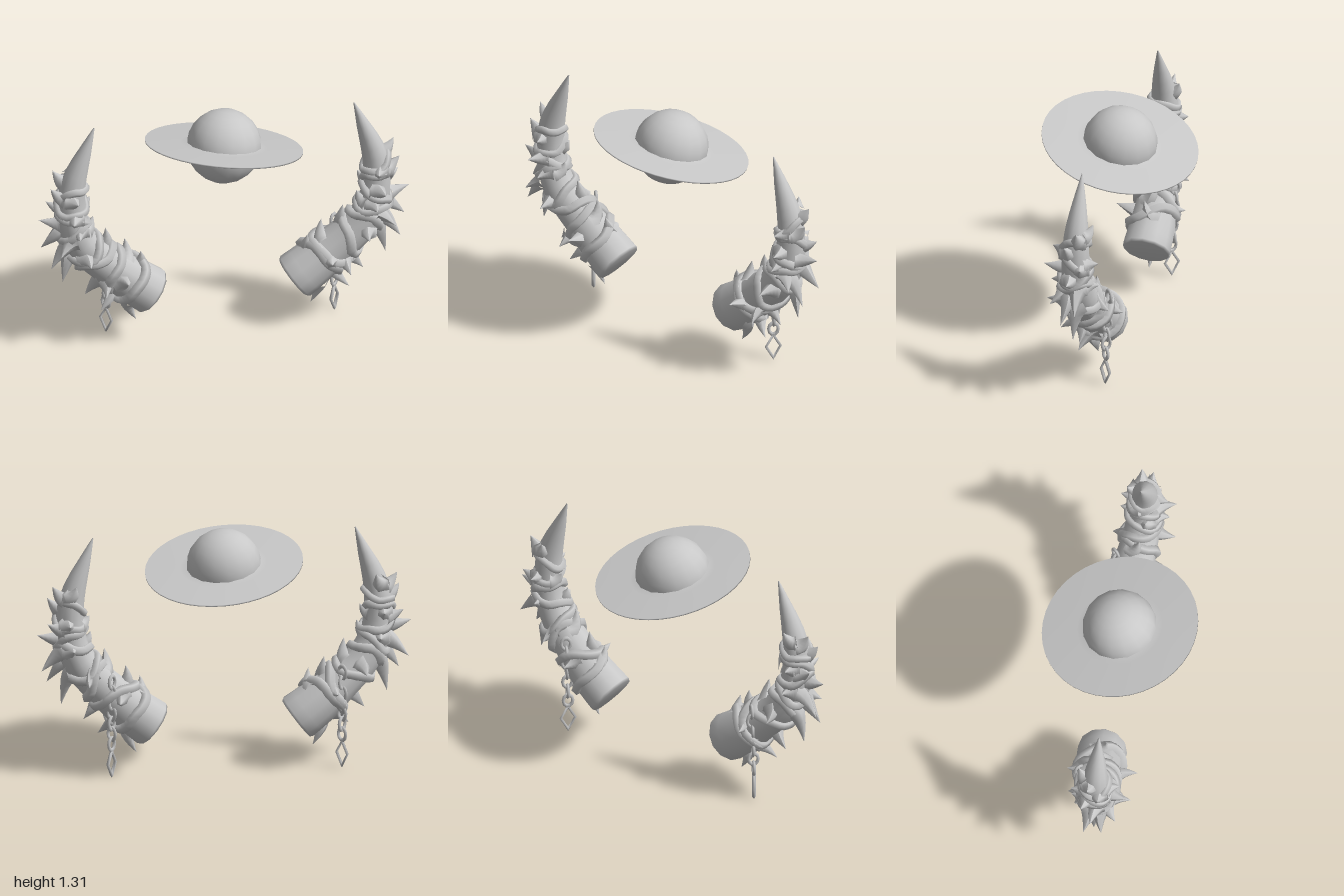
import * as THREE from 'three';

const grey = new THREE.MeshStandardMaterial({ color: 0xc8c8c8 });
grey.name = 'grey';
const V = (x, y, z) => new THREE.Vector3(x, y, z);
const Z = V(0, 0, 1);

// horn centre line with radius: x, y, z, r
const HORN = [
  [0.38, 0.262, -0.03, 0.132], [0.5, 0.352, -0.03, 0.124], [0.62, 0.455, -0.02, 0.107],
  [0.73, 0.56, -0.005, 0.097], [0.8, 0.68, 0, 0.086], [0.82, 0.8, 0, 0.077],
  [0.82, 0.92, 0, 0.072], [0.797, 1.03, 0, 0.061], [0.75, 1.16, 0, 0.036], [0.7, 1.3, 0, 0.003],
];
const LAST = HORN.length - 1;

// thorn tips x, y, z and the centre-line station each one grows from
const THORNS = [
  [0.45, 0.53, 0.0, 1.1], [0.53, 0.6, -0.03, 1.7], [0.64, 0.69, 0.0, 2.6], [0.71, 0.78, 0.02, 4.1],
  [0.72, 0.88, -0.02, 5.2], [0.92, 1.05, -0.03, 6.4], [0.94, 0.97, 0.03, 5.8], [0.95, 0.85, -0.06, 5.1],
  [1.0, 0.775, 0.0, 4.6], [0.98, 0.585, -0.04, 4.2], [0.94, 0.5, 0.05, 3.8], [0.87, 0.385, 0.0, 3.4],
  [0.75, 0.3, 0.0, 2.0], [0.67, 0.21, 0.03, 1.2], [0.47, 0.11, -0.02, 0.7],
  [0.75, 0.55, 0.18, 3.1], [0.84, 0.81, 0.17, 4.9], [0.55, 0.43, 0.185, 1.5], [0.8, 0.7, 0.14, 4.2],
  [0.81, 0.91, 0.13, 5.8], [0.84, 0.85, -0.13, 5.3], [0.58, 0.43, -0.19, 1.6], [0.82, 0.71, -0.13, 4.2],
  [0.74, 0.52, -0.16, 2.9], [0.8, 1.06, -0.09, 6.6], [0.66, 0.33, 0.13, 1.8], [0.9, 0.6, 0.12, 3.9],
];

function add(group, name, geometry) {
  const mesh = new THREE.Mesh(geometry, grey);
  mesh.name = name;
  group.add(mesh);
  return mesh;
}

// horn path for one side (+1 or -1): position, radius and cross axes by station
function hornPath(side) {
  const line = new THREE.CatmullRomCurve3(HORN.map(p => V(p[0] * side, p[1], p[2])), false, 'catmullrom');
  const width = new THREE.CatmullRomCurve3(HORN.map(p => V(p[3], 0, 0)), false, 'catmullrom');
  return k => {
    const t = THREE.MathUtils.clamp(k / LAST, 0, 1);
    const T = line.getTangent(t);
    const N = T.clone().cross(Z).normalize();
    return { P: line.getPoint(t), T, N, B: N.clone().cross(T).normalize(), r: width.getPoint(t).x };
  };
}
const around = (f, a, r) => f.P.clone().addScaledVector(f.N, Math.cos(a) * r).addScaledVector(f.B, Math.sin(a) * r);

// swept body with a slightly rounded, closed base
function hornBody(at) {
  const sides = 12, pos = [], idx = [];
  const rows = [[0, 0], [0, 0.92], [0.1, 1]];
  for (let k = 0.5; k <= LAST; k += 0.5) rows.push([k, 1]);
  rows.forEach(([k, s], i) => {
    const f = at(k);
    for (let j = 0; j < sides; j++) {
      pos.push(...around(f, j / sides * Math.PI * 2, f.r * s).toArray());
      if (i === rows.length - 1) continue;
      const a = i * sides + j, c = i * sides + (j + 1) % sides;
      idx.push(a, a + sides, c, c, a + sides, c + sides);
    }
  });
  const g = new THREE.BufferGeometry();
  g.setAttribute('position', new THREE.Float32BufferAttribute(pos, 3));
  g.setIndex(idx);
  g.computeVertexNormals();
  return g;
}

// curved thorn: a tube narrowed to a point at its tip
function thornGeometry(root, bend, tip) {
  const steps = 6, sides = 6, p = V(0, 0, 0);
  const curve = new THREE.QuadraticBezierCurve3(root, bend, tip);
  const g = new THREE.TubeGeometry(curve, steps, 0.055, sides);
  const pos = g.attributes.position;
  for (let i = 0; i < pos.count; i++) {
    const u = Math.floor(i / (sides + 1)) / steps;
    const centre = curve.getPointAt(u);
    p.fromBufferAttribute(pos, i).sub(centre).multiplyScalar(1 - u).add(centre);
    pos.setXYZ(i, p.x, p.y, p.z);
  }
  g.computeVertexNormals();
  return g;
}

function hornGroup(side) {
  const group = new THREE.Group();
  const at = hornPath(side);
  add(group, 'hornBody', hornBody(at));

  // slanted vines looped around the horn, half sunk into it
  [1.2, 1.75, 2.6, 3.3, 4.1, 4.7, 5.4, 6.1].forEach((k, i) => {
    const pts = [];
    for (let j = 0; j < 12; j++) {
      const a = j / 12 * Math.PI * 2;
      const f = at(k + 0.32 * Math.sin(side * a + i * 2.1) + 0.08 * Math.sin(3 * side * a + i));
      pts.push(around(f, a, f.r * 0.97));
    }
    add(group, 'vine', new THREE.TubeGeometry(new THREE.CatmullRomCurve3(pts, true), 28, 0.03 - i * 0.001, 5, true));
  });

  // thorns, each creeping a little around the horn before turning outward
  THORNS.forEach(([x, y, z, k], i) => {
    const tip = V(x * side, y, z), f = at(k);
    const out = tip.clone().sub(f.P);
    out.addScaledVector(f.T, -out.dot(f.T)).normalize();
    const swing = (i % 2 ? 0.5 : -0.5) * side;
    const root = f.P.clone().addScaledVector(out.clone().applyAxisAngle(f.T, swing), f.r * 0.7);
    const bend = f.P.clone().addScaledVector(out, f.r);
    add(group, 'thorn', thornGeometry(root, bend, tip));
  });

  // hanging chain behind the horn
  for (let i = 0; i < 7; i++) {
    const link = add(group, 'chainLink', new THREE.TorusGeometry(0.025, 0.009, 5, 10));
    link.scale.y = 1.35;
    link.position.set(0.615 * side, 0.535 - i * 0.058, -0.122 + i * 0.003);
    link.rotation.y = side * (Math.PI / 4 + i * Math.PI / 2);
  }
  const pendant = add(group, 'diamondPendant', new THREE.TorusGeometry(0.05, 0.01, 4, 4));
  pendant.scale.set(0.78, 1.35, 1);
  pendant.position.set(0.615 * side, 0.082, -0.103);
  pendant.rotation.y = 0.9 * side;
  return group;
}

export function createModel() {
  const model = new THREE.Group();
  for (const side of [1, -1]) {
    const horn = hornGroup(side);
    horn.name = side > 0 ? 'leftHorn' : 'rightHorn';
    model.add(horn);
  }

  // tilted planet with a thin ring
  const planet = new THREE.Group();
  planet.name = 'ringedPlanet';
  add(planet, 'globe', new THREE.SphereGeometry(0.2, 16, 12));
  const profile = [[0.19, -0.012], [0.23, -0.005], [0.42, -0.004], [0.42, 0.004], [0.23, 0.005], [0.19, 0.012]];
  add(planet, 'ring', new THREE.LatheGeometry(profile.map(p => new THREE.Vector2(...p)), 40));
  planet.position.y = 1.115;
  planet.quaternion.setFromUnitVectors(V(0, 1, 0), V(0.13, 1, -0.21).normalize());
  model.add(planet);
  return model;
}
